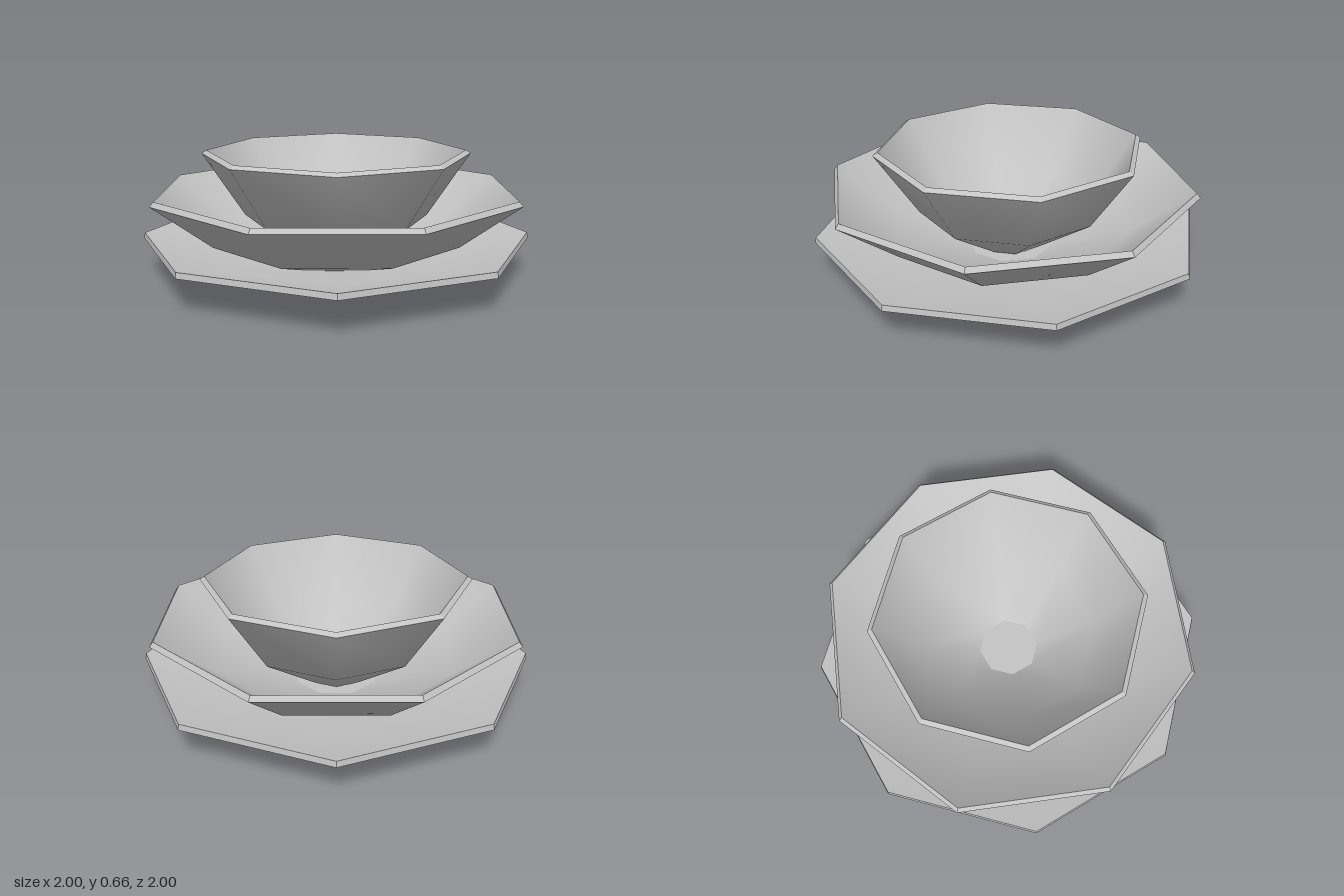
import * as THREE from 'three';

const SIDES = 8;
const grey = new THREE.MeshStandardMaterial({ color: 0xc4c4c4 });
grey.name = 'light grey ceramic';

// Eight-sided surface of revolution; profile radii are corner radii.
function turned(name, profile, turn, flat = false) {
  const points = profile.map(([r, y]) => new THREE.Vector2(r, y));
  let geometry = new THREE.LatheGeometry(points, SIDES, turn);
  if (flat) {
    geometry = geometry.toNonIndexed();
    geometry.computeVertexNormals();
  }
  const mesh = new THREE.Mesh(geometry, grey);
  mesh.name = name;
  return mesh;
}

// One dish: smooth underside, faceted slanted lip, smooth inside and flat floor.
// outer runs from the centre up to the rim, inner from the rim down to the floor.
function dish(name, outer, inner, turn, scale) {
  const fit = (profile) => profile.map(([r, y]) => [r * scale, y]);
  const under = fit(outer);
  const inside = fit(inner);
  const floorEdge = inside[inside.length - 1];
  const group = new THREE.Group();
  group.name = name;
  group.add(
    turned(name + 'Underside', under, turn),
    turned(name + 'Lip', [under[under.length - 1], inside[0]], turn, true),
    turned(name + 'Inside', inside, turn),
    turned(name + 'Floor', [floorEdge, [0, floorEdge[1]]], turn, true)
  );
  return group;
}

export function createModel() {
  const model = new THREE.Group();
  model.name = 'stackedDishes';
  const flatFront = Math.PI / SIDES;
  const acrossFlats = 1 / Math.cos(flatFront); // converts flat radius to corner radius

  // Wide shallow plate, flat side to the front
  model.add(dish('plate',
    [[0, 0.028], [0.22, 0.052], [0.65, 0.1], [0.967, 0.18]],
    [[0.962, 0.21], [0.645, 0.13], [0.22, 0.08]],
    flatFront, acrossFlats));

  // Middle bowl, corner to the front
  model.add(dish('soupBowl',
    [[0, 0.035], [0.227, 0.052], [0.685, 0.195], [1, 0.436]],
    [[0.98, 0.461], [0.665, 0.222], [0.227, 0.08]],
    0, 1));

  // Small deep bowl, flat side to the front; its foot point reaches the ground
  model.add(dish('smallBowl',
    [[0, 0], [0.15, 0.09], [0.455, 0.31], [0.663, 0.646]],
    [[0.639, 0.663], [0.432, 0.326], [0.15, 0.12]],
    flatFront, acrossFlats));

  return model;
}
